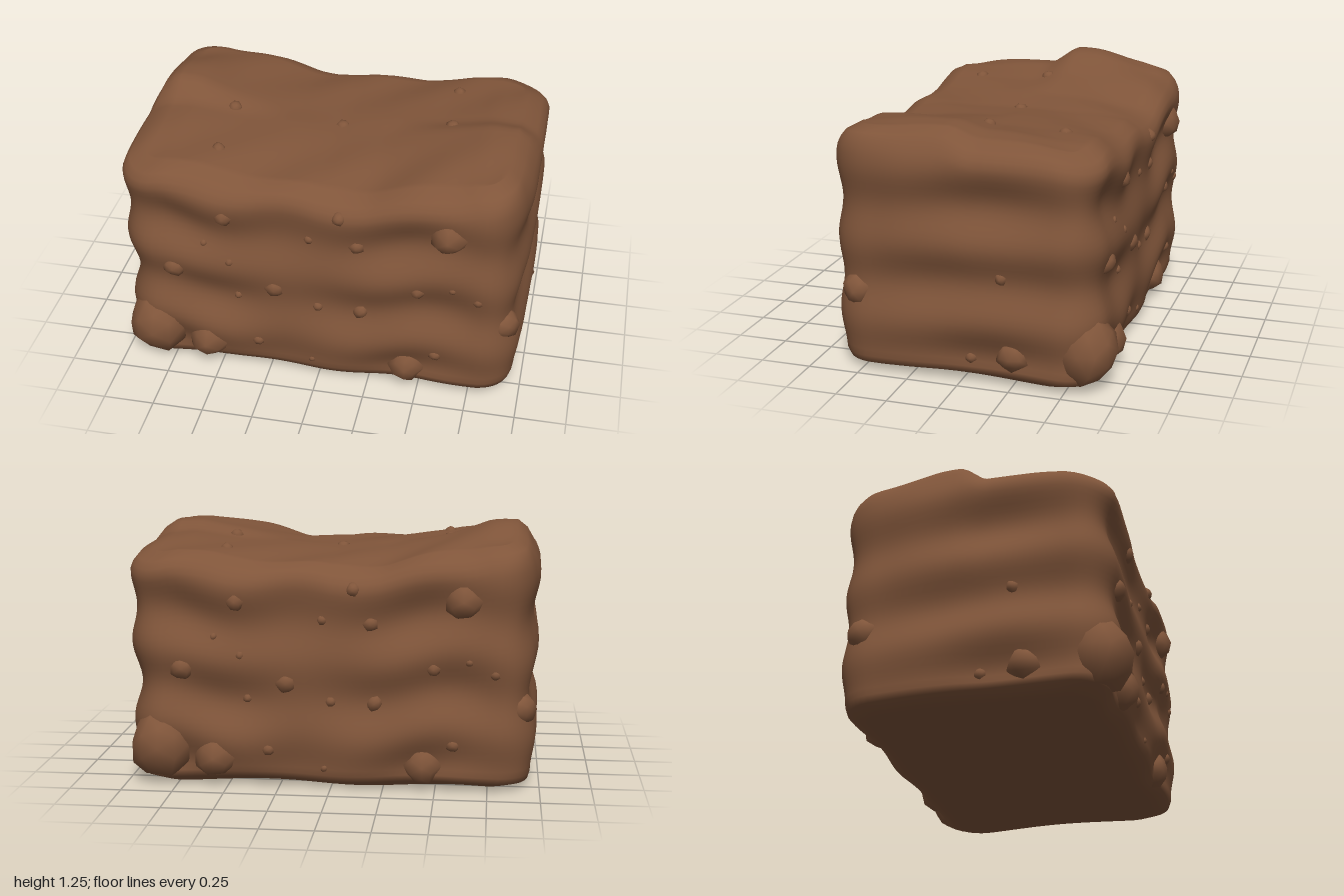
import * as THREE from 'three';
import { mergeVertices } from 'three/addons/utils/BufferGeometryUtils.js';

const HX = 0.97, HZ = 0.64, R = 0.18;
const { clamp, lerp, smoothstep } = THREE.MathUtils;

// Height of the top edge along x, in equal steps from -1 to 1 (front half)
const EDGE = [1.14, 1.165, 1.125, 1.115, 1.09, 1.105, 1.155, 1.205, 1.195];
function edge(x) {
  const t = clamp((x + 1) * 4, 0, 7.999), i = Math.floor(t);
  return lerp(EDGE[i], EDGE[i + 1], t - i);
}
// The back half repeats the front half turned around, with one raised corner
function topHeight(x, z) {
  const t = smoothstep(z, -0.08, 0.08);
  const corner = 0.04 * (1 - t) * smoothstep(-x, 0.5, 0.85) * (1 - smoothstep(-z, 0.15, 0.5));
  return lerp(edge(-x), edge(x), t) + corner - 0.1 * z * z
    - 0.013 * Math.cos(12 * x + 7 * z) * smoothstep(Math.abs(z), 0.1, 0.5);
}

// Push a point of the plain block (y from 0 to 1) into layered, lumpy soil
function deform(v) {
  const { x, y, z } = v;
  v.y = 0.005 + 0.01 * Math.cos(7 * x + 4 * z) * (1 - y) ** 8 + y * topHeight(x, z);
  const wobble = 0.03 * Math.cos(4 * x + z) + 0.02 * Math.cos(9 * x - 3 * z);
  const ridge = Math.cos((v.y - 1 + wobble) * Math.PI * 2 / 0.37);
  const lump = 0.009 * Math.cos(11 * x + 8 * z) * Math.sin(8 * v.y + 1);
  const out = 0.018 * ridge * (1 + 0.4 * Math.cos(6 * x - 4 * z)) + lump;
  // the ends narrow towards two opposite corners, above the foot
  const taper = x * z > 0 ? 0.03 * smoothstep(Math.abs(z), 0.25, 0.6) * smoothstep(v.y, 0.1, 0.5) : 0;
  v.x += Math.sign(x) * (out - taper) * Math.abs(x / HX) ** 6;
  v.z += Math.sign(z) * out * Math.abs(z / HZ) ** 6;
  return v;
}

function smooth(geo) {
  geo.deleteAttribute('normal');
  geo.deleteAttribute('uv');
  const merged = mergeVertices(geo, 1e-4);
  merged.computeVertexNormals();
  return merged;
}

function soilBlock() {
  const geo = new THREE.BoxGeometry(2 * HX, 1, 2 * HZ, 48, 36, 32);
  const p = geo.attributes.position, v = new THREE.Vector3();
  for (let i = 0; i < p.count; i++) {
    v.fromBufferAttribute(p, i);
    // round the upright corners
    const cx = clamp(v.x, R - HX, HX - R), cz = clamp(v.z, R - HZ, HZ - R);
    const k = Math.min(1, R / (Math.hypot(v.x - cx, v.z - cz) || 1));
    v.x = cx + (v.x - cx) * k;
    v.z = cz + (v.z - cz) * k;
    // draw in the upper and lower edges
    const ry = v.y < 0 ? 0.07 : 0.1;
    const t = Math.max(0, (Math.abs(v.y) - 0.5 + ry) / ry);
    const inset = 0.085 * (1 - Math.sqrt(1 - Math.min(1, t * t)));
    v.x *= 1 - inset / HX;
    v.z *= 1 - inset / HZ;
    v.y += 0.5;
    deform(v);
    p.setXYZ(i, v.x, v.y, v.z);
  }
  return smooth(geo);
}

// Small seeded generator for the uneven pebbles
let seed = 7;
const rand = () => (seed = (seed * 16807) % 2147483647) / 2147483647;

function pebbleGeometry() {
  const geo = smooth(new THREE.IcosahedronGeometry(1, 1));
  const p = geo.attributes.position;
  for (let i = 0; i < p.count; i++) {
    const s = 0.88 + 0.2 * rand();
    p.setXYZ(i, p.getX(i) * s, p.getY(i) * s, p.getZ(i) * s);
  }
  geo.computeVertexNormals();
  return geo;
}

// Pebbles as [x, y, radius] on the long face
const FACE = [
  [-0.45, 0.9, 0.05], [0.11, 0.965, 0.036], [0.19, 0.8, 0.04], [0.63, 0.92, 0.1],
  [-0.04, 0.815, 0.025], [-0.56, 0.725, 0.02], [-0.43, 0.64, 0.022], [-0.71, 0.575, 0.065],
  [-0.21, 0.51, 0.056], [-0.4, 0.425, 0.023], [0, 0.42, 0.026], [0.21, 0.415, 0.044],
  [0.49, 0.595, 0.038], [0.66, 0.63, 0.021], [0.79, 0.57, 0.027], [-0.56, 0.14, 0.115],
  [-0.3, 0.18, 0.032], [-0.03, 0.095, 0.02], [0.44, 0.11, 0.1], [0.585, 0.225, 0.036],
];
// [z, y, radius] on the short face
const END = [[-0.2, 0.525, 0.038], [-0.25, 0.14, 0.09], [-0.05, 0.11, 0.032]];
// [x, z, radius] on the top
const TOP = [[0.53, -0.385, 0.037], [0.545, -0.015, 0.036]];

export function createModel() {
  const soil = new THREE.MeshStandardMaterial({ color: 0x80553a });
  soil.name = 'soilBrown';
  const group = new THREE.Group();
  group.name = 'soilBlock';

  const body = new THREE.Mesh(soilBlock(), soil);
  body.name = 'layeredSoil';
  group.add(body);

  const shapes = Array.from({ length: 6 }, pebbleGeometry);
  let count = 0;
  function pebble(parent, name, pos, sx, sy = sx, sz = sx) {
    const mesh = new THREE.Mesh(shapes[count++ % shapes.length], soil);
    mesh.name = name;
    mesh.position.copy(pos);
    mesh.scale.set(sx, sy, sz);
    parent.add(mesh);
  }
  const at = (x, y, z) => deform(new THREE.Vector3(x, y / topHeight(x, z), z));

  // Each half carries the same pebbles, turned half a circle
  for (const half of [0, 1]) {
    const side = new THREE.Group();
    side.name = half ? 'backPebbles' : 'frontPebbles';
    side.rotation.y = half * Math.PI;
    count = 0;
    for (const [x, y, r] of FACE) pebble(side, 'facePebble', at(x, y, HZ - r * 0.5), r);
    for (const [z, y, r] of END) pebble(side, 'endPebble', at(HX - r * 0.6, y, z), r);
    for (const [x, z, r] of TOP) {
      const s = half ? -1 : 1;
      pebble(side, 'topPebble', new THREE.Vector3(x, topHeight(s * x, s * z) - r * 0.3, z), r);
    }
    pebble(side, 'cornerBoulder', new THREE.Vector3(-0.825, 0.195, 0.57), 0.165, 0.185, 0.16);
    pebble(side, 'cornerStone', new THREE.Vector3(0.895, 0.39, 0.52), 0.08, 0.085, 0.09);
    group.add(side);
  }
  // Single pebble in the middle of the top
  pebble(group, 'centrePebble', new THREE.Vector3(0, topHeight(0, 0) - 0.012, 0), 0.038);
  return group;
}
